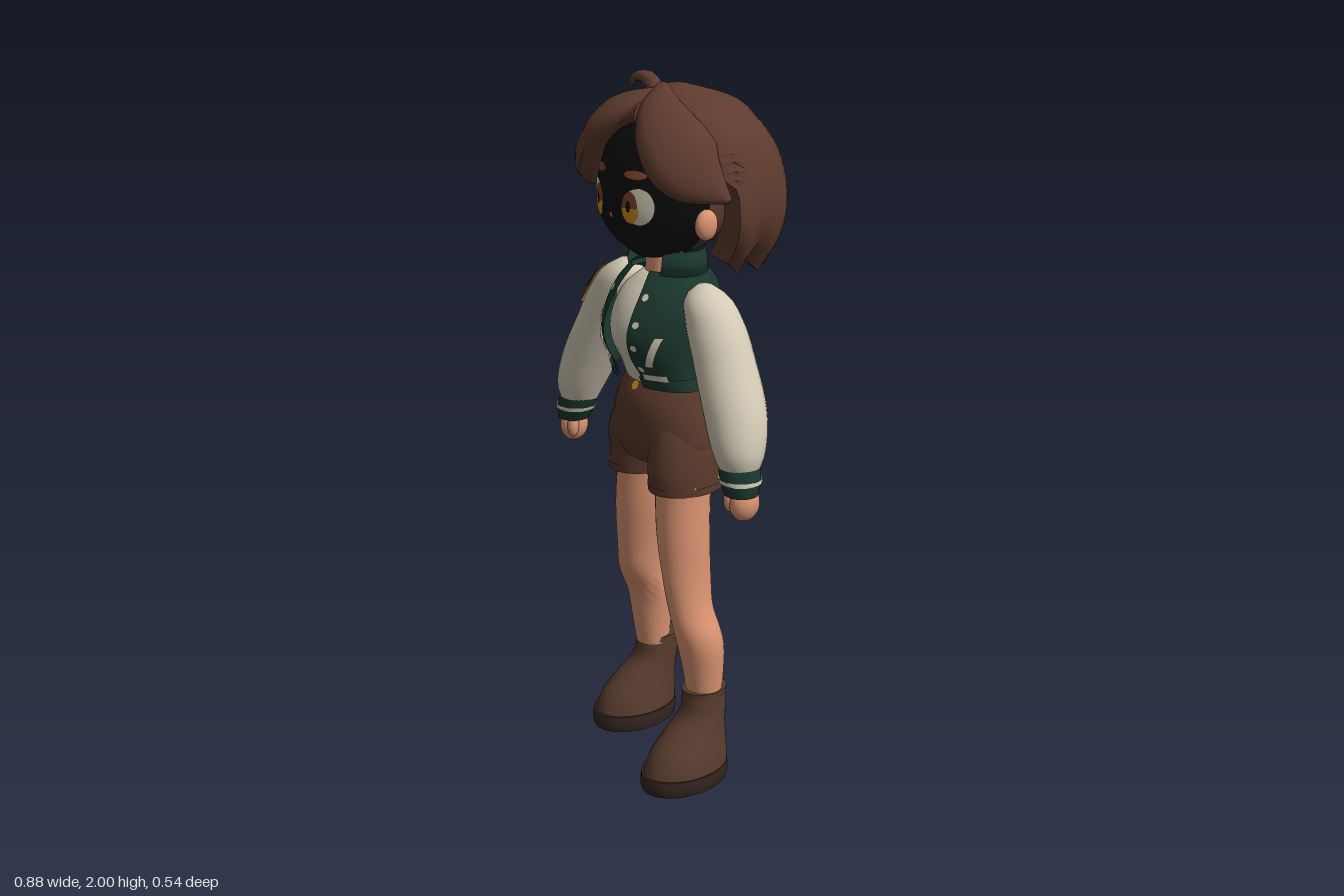
import * as THREE from 'three';
import { toCreasedNormals } from 'three/addons/utils/BufferGeometryUtils.js';

const { sin, cos, abs, round, PI } = Math;
const { lerp, smoothstep, clamp } = THREE.MathUtils;
const V = (x, y, z) => new THREE.Vector3(x, y, z);
const paint = (name, color) => Object.assign(
  new THREE.MeshStandardMaterial({ color, side: THREE.DoubleSide }), { name });

// Grid of points f(u, v) turned into a surface
function grid(f, nu, nv, crease = 0.9) {
  const pos = [], idx = [];
  for (let j = 0; j <= nv; j++) for (let i = 0; i <= nu; i++) pos.push(...f(i / nu, j / nv, j).toArray());
  for (let j = 0; j < nv; j++) for (let i = 0; i < nu; i++) {
    const a = j * (nu + 1) + i, c = a + nu + 1;
    idx.push(a, a + 1, c, a + 1, c + 1, c);
  }
  const g = new THREE.BufferGeometry();
  g.setAttribute('position', new THREE.Float32BufferAttribute(pos, 3));
  g.setIndex(idx);
  return toCreasedNormals(g, crease);
}

// Smooth body through ellipses [y, cx, cz, rx, rz]; angle 0 is the front
function surface(rings, side = 1) {
  const curve = new THREE.CubicInterpolant(rings.map(r => r[0]), rings.flatMap(r => r.slice(1)), 4);
  const fn = (a, y, off = 0) => {
    const [cx, cz, rx, rz] = curve.evaluate(y);
    return V(side * cx + Math.max(0, rx + off) * sin(a), y, cz + Math.max(0, rz + off) * cos(a));
  };
  fn.mid = y => { const [cx, cz] = curve.evaluate(y); return V(side * cx, y, cz); };
  fn.lo = rings[0][0];
  fn.hi = rings[rings.length - 1][0];
  return fn;
}
const solid = (fn, nu = 28, nv = 18) => grid((u, v, j) => {
  const y = lerp(fn.lo, fn.hi, clamp((j - 1) / (nv - 2), 0, 1));
  return j === 0 || j === nv ? fn.mid(y) : fn(u * 2 * PI, y);
}, nu, nv);
const sheet = (fn, a0, a1, y0, y1, off = 0, nu = 32, nv = 12, skew = 0) => grid((u, v) =>
  fn(lerp(a0, a1, u) + skew * v, lerp(y0, y1, v), off), nu, nv);

// Wrap a flat (angle, height) geometry onto a surface
function decal(geo, fn, a, y, off) {
  const p = geo.attributes.position;
  for (let i = 0; i < p.count; i++) p.setXYZ(i, ...fn(a + p.getX(i), y + p.getY(i), off).toArray());
  geo.computeVertexNormals();
  return geo;
}
const disc = (w, h, start = 0, arc = 2 * PI) => new THREE.RingGeometry(0.001, 1, 24, 3, start, arc).scale(w, h, 1);

// Hair strand through [x, y, z, half width, half thickness], lying flat on the head
function lock(pts) {
  const path = new THREE.CatmullRomCurve3(pts.map(p => V(p[0], p[1], p[2])), false, 'catmullrom');
  const size = new THREE.CatmullRomCurve3(pts.map(p => V(p[3], p[4], 0)), false, 'catmullrom');
  return grid((u, v) => {
    const c = path.getPoint(v), s = size.getPoint(v), t = path.getTangent(v);
    const out = c.clone().sub(V(0, 1.7, 0)).projectOnPlane(t).normalize();
    const across = out.clone().cross(t);
    return c.addScaledVector(across, s.x * cos(u * 2 * PI)).addScaledVector(out, s.y * sin(u * 2 * PI));
  }, 14, 20);
}

export function createModel() {
  const root = new THREE.Group();
  root.name = 'jacketGirl';
  const skin = paint('skin', 0xdb9472), hair = paint('hair brown', 0x5e3b2e),
    cloth = paint('shorts brown', 0x5a392b), leather = paint('boot brown', 0x573a2d),
    rubber = paint('sole brown', 0x33251e), green = paint('jacket green', 0x1a362d),
    cream = paint('cream', 0xd3cab5), orange = paint('orange', 0xd28c22),
    black = paint('black', 0x0a0a0a), brow = paint('brow brown', 0x7a4326);
  const add = (name, geo, mat) => {
    const m = new THREE.Mesh(geo, mat);
    m.name = name;
    root.add(m);
  };
  const ball = (name, mat, x, y, z, rx, ry, rz) =>
    add(name, new THREE.SphereGeometry(1, 16, 12).scale(rx, ry, rz).translate(x, y, z), mat);

  // Head, neck and face
  const head = surface([[1.525, 0, .08, .05, .05], [1.56, 0, .06, .125, .11], [1.62, 0, .045, .18, .165],
    [1.7, 0, .04, .195, .18], [1.78, 0, .03, .19, .175], [1.86, 0, .02, .15, .14], [1.92, 0, .01, .06, .06]]);
  add('face', solid(head, 40, 26), black);
  add('neck', new THREE.CylinderGeometry(.05, .055, .13, 20).translate(0, 1.5, .045), skin);
  add('nose', decal(disc(.03, .008), head, 0, 1.653, .006), orange);
  for (const s of [-1, 1]) {
    ball('ear', skin, s * .205, 1.64, .065, .022, .042, .035);
    add('eyeWhite', decal(disc(.25, .05), head, s * .47, 1.685, .003), cream);
    add('irisTop', decal(disc(.13, .045, 0, PI), head, s * .34, 1.68, .005), brow);
    add('irisBottom', decal(disc(.14, .042, PI, PI), head, s * .35, 1.68, .005), orange);
    add('pupil', decal(disc(.035, .016), head, s * .33, 1.685, .007), black);
    add('eyebrow', decal(disc(.19, .012), head, s * .39, 1.768, .005), brow);
  }

  // Hair: thick back shell with a toothed hem
  const shell = surface([[1.49, 0, -.045, .205, .175], [1.53, 0, -.045, .235, .2], [1.6, 0, -.04, .27, .22],
    [1.68, 0, -.035, .283, .235], [1.8, 0, -.03, .265, .225], [1.88, 0, -.02, .22, .185],
    [1.94, 0, -.01, .145, .128], [1.975, 0, 0, .03, .03]]);
  const nu = 56, nv = 28;
  add('backHair', grid((u, v, j) => {
    const i = round(u * nu);
    const along = clamp((i - 1) / (nu - 2), 0, 1), up = clamp((j - 1) / (nv - 2), 0, 1);
    const y = 1.485 + .49 * sin(up * PI / 2);
    if (j === nv) return V(0, 1.976, 0);
    const a0 = 1.35 * (1 - smoothstep(y, 1.72, 1.93));
    const a = lerp(a0, 2 * PI - a0, along);
    if (j === 0) return shell(a, 1.53, -.1);
    const bulge = (.007 * cos(9 * a) + .02 * abs(sin(2 * a))) * (1 - up);
    const p = shell(a, y, i === 0 || i === nu ? -.1 : bulge);
    p.y += abs((along * 9) % 1 - .5) * .08 * (1 - up) ** 5;
    return p;
  }, nu, nv, .6), hair);

  // Scalp under the hair, fringe and a curl on top
  add('scalp', sheet(head, 1.5, 2 * PI - 1.5, 1.54, 1.78, .01), hair);
  add('crown', sheet(head, 1, 2 * PI - 1, 1.76, 1.91, .014), hair);
  add('rightFringe', lock([[.01, 1.955, .04, .02, .02], [-.07, 1.92, .11, .07, .035], [-.15, 1.86, .13, .095, .045],
    [-.225, 1.765, .11, .085, .04], [-.275, 1.66, .05, .01, .01]]), hair);
  add('leftFringe', lock([[0, 1.97, .05, .02, .02], [.07, 1.925, .11, .065, .035], [.15, 1.86, .135, .095, .045],
    [.22, 1.79, .125, .09, .04], [.3, 1.72, .065, .01, .01]]), hair);
  add('hairCurl', lock([[-.04, 1.93, .03, .022, .02], [-.075, 1.97, .025, .022, .018], [-.12, 1.982, .02, .022, .016],
    [-.165, 1.972, .015, .02, .012], [-.195, 1.945, .012, .004, .004]]), hair);

  // Shirt
  add('shirt', solid(surface([[1.15, 0, .055, .12, .075], [1.21, 0, .07, .125, .085], [1.3, 0, .07, .135, .13],
    [1.36, 0, .056, .14, .135], [1.43, 0, .04, .12, .11], [1.475, 0, .04, .062, .06]])), cream);

  // Open jacket with collar, hem, snaps and pockets
  const jacket = surface([[1.17, 0, .07, .163, .09], [1.21, 0, .072, .155, .105], [1.26, 0, .072, .155, .137],
    [1.32, 0, .065, .16, .16], [1.37, 0, .052, .163, .16], [1.44, 0, .035, .15, .135], [1.49, 0, .03, .11, .1]]);
  const gap = .33, around = 2 * PI - gap;
  add('jacketBody', sheet(jacket, gap, around, 1.18, 1.49, 0, 40, 20), green);
  add('jacketHem', sheet(jacket, gap, around, 1.17, 1.205, .008, 40, 3), green);
  const collar = surface([[1.465, 0, .03, .115, .105], [1.51, 0, .035, .132, .095], [1.545, 0, .03, .115, .09]]);
  add('collar', sheet(collar, .6, 2 * PI - .6, 1.465, 1.545), green);
  for (const s of [-1, 1]) {
    add('hemStripe', sheet(jacket, s * .7 - .25, s * .7 + .25, 1.2, 1.218, .01, 10, 2), cream);
    add('pocketTrim', sheet(jacket, s * .66 - .075, s * .66 + .075, 1.24, 1.33, .005, 3, 8, s * .25), cream);
    for (const y of [1.23, 1.295, 1.36, 1.43])
      add('snap', decal(disc(.065, .01), jacket, s * .47, y, .006), cream);
  }

  // Arms: puffed sleeves, striped cuffs and hands
  const armRings = [[1.0, .37, .08, .05, .05], [1.05, .363, .077, .07, .07], [1.15, .328, .062, .087, .085],
    [1.28, .265, .05, .088, .083], [1.38, .215, .045, .083, .075], [1.44, .185, .045, .06, .055],
    [1.468, .175, .045, .02, .02]];
  for (const s of [-1, 1]) {
    add('sleeve', solid(surface(armRings, s), 28, 24), cream);
    const cuff = surface([[.945, .388, .088, .046, .046], [.98, .38, .085, .056, .055], [1.02, .368, .08, .058, .056]], s);
    add('cuff', solid(cuff, 24, 8), green);
    add('cuffStripe', sheet(cuff, 0, 2 * PI, .978, .99, .003, 24, 1), cream);
    ball('hand', skin, s * .395, .918, .082, .035, .05, .045);
    ball('thumb', skin, s * .364, .925, .108, .016, .034, .018);
  }
  const rightSleeve = surface(armRings, -1);
  add('armPatch', decal(disc(.65, .064), rightSleeve, -1.12, 1.375, .006), orange);
  const bolt = new THREE.Shape([[.16, .056], [-.34, -.005], [-.03, -.005], [-.18, -.056], [.34, .01], [.03, .01]]
    .map(p => new THREE.Vector2(...p)));
  add('patchBolt', decal(new THREE.ShapeGeometry(bolt), rightSleeve, -1.12, 1.375, .012), black);

  // Shorts
  const hips = surface([[.94, 0, .045, .13, .1], [.98, 0, .045, .178, .117], [1.05, 0, .045, .176, .123],
    [1.12, 0, .045, .155, .116], [1.19, 0, .04, .13, .085]]);
  add('shorts', solid(hips), cloth);
  add('shortsButton', decal(disc(.1, .013), hips, 0, 1.16, .008), orange);

  // Legs: the left one steps forward, the right one back
  const legs = [[.25, .185, .052, .05], [.33, .185, .059, .06], [.42, .182, .067, .068], [.46, .177, .066, .068],
    [.52, .16, .059, .067], [.6, .146, .059, .073], [.75, .127, .072, .078], [.92, .112, .08, .078]];
  const depth = { 1: [.05, .052, .062, .07, .078, .08, .08, .068],
    '-1': [-.048, -.045, -.037, -.018, .015, .025, .035, .03] };
  for (const s of [-1, 1]) {
    add('leg', solid(surface(legs.map(([y, x, rx, rz], i) => [y, x, depth[s][i], rx, rz]), s), 28, 28), skin);
    const z = s > 0 ? .055 : .032;
    add('shortsLeg', solid(surface([[.872, .108, z, .088, .111], [.93, .103, z, .09, .113], [1.0, .095, .045, .088, .112],
      [1.08, .08, .045, .07, .095]], s)), cloth);
    const cuff = surface([[.872, .108, z, .09, .113], [.894, .107, z, .091, .115]], s);
    add('shortsCuff', sheet(cuff, 0, 2 * PI, .872, .894, .001, 28, 1), cloth);

    // Boot
    const d = s > 0 ? 0 : -.115;
    add('sole', solid(surface([[0, .196, .13 + d, .095, .136], [.02, .197, .13 + d, .099, .141],
      [.05, .197, .129 + d, .098, .139]], s), 32, 8), rubber);
    add('boot', solid(surface([[.04, .197, .128 + d, .096, .137], [.1, .195, .113 + d, .084, .124],
      [.15, .191, .088 + d, .07, .099], [.2, .187, .057 + d, .06, .073], [.262, .185, .048 + d, .055, .066]], s), 32, 16), leather);
    add('bootRim', new THREE.CylinderGeometry(1, 1, .016, 28).scale(.058, 1, .068)
      .translate(s * .185, .264, .048 + d), leather);
  }
  return root;
}
